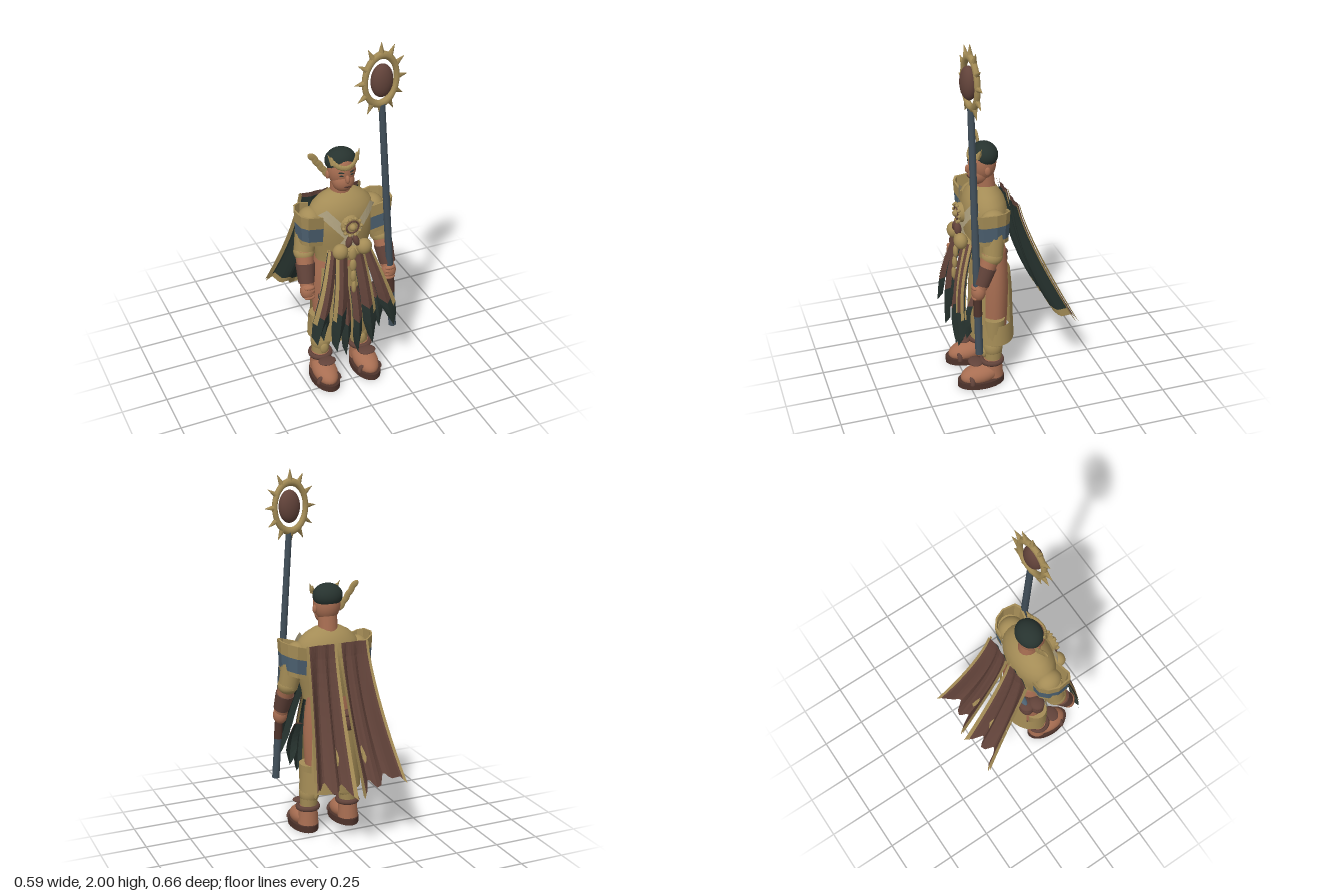
import * as THREE from 'three';

const mat = (name, color) => {
  const m = new THREE.MeshStandardMaterial({ color, side: THREE.DoubleSide });
  m.name = name;
  return m;
};
const gold = mat('gold cloth', 0xa48c56), skin = mat('skin', 0xa86e52), brown = mat('brown cloth', 0x62433a);
const dark = mat('dark teal', 0x27332f), blue = mat('blue band', 0x4c6070), steel = mat('staff steel', 0x42505b);
const cream = mat('cream strap', 0xb8aa86), sole = mat('dark leather', 0x4e332b);

const V = (a) => new THREE.Vector3(...a);
const lerp = THREE.MathUtils.lerp;
const BALL = new THREE.SphereGeometry(1, 24, 16);

function add(parent, name, geo, material, pos = [0, 0, 0], scale = [1, 1, 1], rot = [0, 0, 0]) {
  const m = new THREE.Mesh(geo, material);
  m.name = name;
  m.position.set(...pos);
  m.scale.set(...scale);
  m.rotation.set(...rot);
  parent.add(m);
  return m;
}
const ball = (p, name, material, pos, scale, rot) => add(p, name, BALL, material, pos, scale, rot);

// tapered rod from a to b
function rod(p, name, material, a, b, ra, rb, sides = 16) {
  const d = V(b).sub(V(a));
  const m = add(p, name, new THREE.CylinderGeometry(rb, ra, d.length(), sides), material,
    V(a).add(V(b)).multiplyScalar(0.5).toArray());
  m.quaternion.setFromUnitVectors(new THREE.Vector3(0, 1, 0), d.normalize());
  return m;
}

// faceted sheet following f(u, v) over part of its range
function sheet(p, name, material, f, [u0, u1, v0, v1], nu = 8, nv = 8) {
  const pos = [], idx = [];
  for (let j = 0; j <= nv; j++) for (let i = 0; i <= nu; i++) pos.push(...f(lerp(u0, u1, i / nu), lerp(v0, v1, j / nv)));
  for (let j = 0; j < nv; j++) for (let i = 0; i < nu; i++) {
    const a = j * (nu + 1) + i, b = a + nu + 1;
    idx.push(a, b, a + 1, b, b + 1, a + 1);
  }
  let g = new THREE.BufferGeometry();
  g.setAttribute('position', new THREE.Float32BufferAttribute(pos, 3));
  g.setIndex(idx);
  g = g.toNonIndexed();
  g.computeVertexNormals();
  return add(p, name, g, material);
}

// piecewise linear lookup in evenly spaced values
function ramp(list, t) {
  const k = Math.min(Math.max(t, 0) * (list.length - 1), list.length - 1.0001), i = Math.floor(k);
  return lerp(list[i], list[i + 1], k - i);
}

const lathe = (pts, a = 0, len = Math.PI * 2) =>
  new THREE.LatheGeometry(pts.map(([r, y]) => new THREE.Vector2(r, y)), 28, a, len);

function buildHead(body) {
  const g = new THREE.Group();
  g.name = 'head';
  body.add(g);
  rod(g, 'neck', skin, [0, 1.12, 0.105], [0, 1.25, 0.115], 0.055, 0.05);
  ball(g, 'skull', skin, [0, 1.29, 0.122], [0.074, 0.1, 0.074]);
  ball(g, 'jaw', skin, [0, 1.235, 0.143], [0.06, 0.064, 0.058]);
  ball(g, 'hair', dark, [0, 1.335, 0.11], [0.083, 0.066, 0.071], [-0.18, 0, 0]);
  ball(g, 'nose', skin, [0, 1.262, 0.2], [0.012, 0.024, 0.016]);
  ball(g, 'mouth', sole, [0, 1.218, 0.1995], [0.02, 0.004, 0.004]);
  for (const s of [-1, 1]) {
    ball(g, 'ear', skin, [s * 0.074, 1.265, 0.115], [0.01, 0.024, 0.016]);
    ball(g, 'eye', dark, [s * 0.029, 1.282, 0.189], [0.011, 0.004, 0.004], [0, s * 0.4, 0]);
    ball(g, 'eyebrow', dark, [s * 0.03, 1.3, 0.19], [0.016, 0.004, 0.004], [0, s * 0.4, s * 0.1]);
    // leaf circlet rising to a tip on each side
    for (let i = 0; i < 6; i++) {
      const a = i * 0.19;
      ball(g, 'circletLeaf', gold, [s * Math.sin(a) * 0.085, 1.325 + i * i * 0.0015, 0.11 + Math.cos(a) * 0.083],
        [0.012, 0.022, 0.009], [0, s * a, -s * (1.1 - i * 0.16)]);
    }
    rod(g, 'circletTip', gold, [s * 0.066, 1.345, 0.165], [s * 0.088, 1.4, 0.15], 0.013, 0.001, 6);
  }
  // side plume of overlapping leaves
  for (let i = 0; i < 6; i++)
    ball(g, 'plume', gold, [-0.082 - i * 0.014, 1.278 + i * 0.02, 0.105], [0.018, 0.032, 0.007], [0, 0, 0.35 + (i % 2) * 0.5]);
}

function buildTorso(body) {
  add(body, 'robe', lathe([[0.74, 0.77], [0.78, 0.82], [0.87, 0.88], [0.96, 0.96], [0.98, 1.02], [0.94, 1.06], [0.84, 1.1], [0.65, 1.135], [0.42, 1.16], [0.2, 1.17]]),
    gold, [0, 0, 0.116], [0.191, 1, 0.12]);
  add(body, 'hips', lathe([[0.82, 0.28], [0.9, 0.45], [0.93, 0.6], [0.88, 0.7], [0.8, 0.79]]), skin, [0, 0, 0.085], [0.165, 1, 0.1]);
  // skirt is open at the hips and closed near the hem
  const skirtPos = [0, 0, 0.085], skirtScale = [0.175, 1, 0.122];
  add(body, 'skirtHem', lathe([[1.02, 0.25], [0.98, 0.37]]), gold, skirtPos, skirtScale);
  for (const [start, top] of [[-0.95, 0.72], [Math.PI - 0.95, 0.66]])
    add(body, 'skirtPanel', lathe([[0.98, 0.37], [0.93, 0.56], [0.86, top]], start, 1.9), gold, skirtPos, skirtScale);
  // chest straps and sun medallion
  for (const s of [-1, 1])
    sheet(body, 'chestStrap', cream, (u, v) => {
      const x = lerp(-0.14, 0.05, v) + (u - 0.5) * 0.038;
      return [s * x, lerp(1.1, 0.88, v) + (u - 0.5) * 0.033, 0.121 + 0.122 * Math.sqrt(1 - (x / 0.19) ** 2)];
    }, [0, 1, 0, 1], 2, 8);
  add(body, 'medallion', new THREE.CylinderGeometry(0.05, 0.055, 0.03, 20), gold, [0, 1.015, 0.252], [1, 1, 1], [Math.PI / 2, 0, 0]);
  add(body, 'medallionRing', new THREE.TorusGeometry(0.034, 0.005, 6, 20), brown, [0, 1.015, 0.267]);
  ball(body, 'medallionBoss', gold, [0, 1.015, 0.269], [0.019, 0.019, 0.02]);
  for (let i = 0; i < 10; i++) {
    const a = i * Math.PI / 5;
    ball(body, 'medallionRay', gold, [Math.cos(a) * 0.05, 1.015 + Math.sin(a) * 0.05, 0.266], [0.009, 0.009, 0.011]);
  }
  // belt ornaments
  ball(body, 'beltPlate', gold, [0, 0.85, 0.225], [0.1, 0.035, 0.045]);
  for (const s of [-1, 1]) {
    ball(body, 'beltOrb', gold, [s * 0.068, 0.88, 0.265], [0.042, 0.044, 0.037]);
    ball(body, 'beltBead', brown, [s * 0.02, 0.93, 0.267], [0.017, 0.034, 0.02], [0, 0, s * 0.3]);
  }
  for (let i = 0; i < 4; i++)
    ball(body, 'tassel', gold, [0, 0.85 - i * 0.065, 0.27 + i * 0.006], [0.022 - i * 0.003, 0.038, 0.014]);
  // pouches around the back of the right hip
  for (const [x, y, z, r] of [[-0.165, 0.67, 0.06, 0.046], [-0.138, 0.66, 0.01, 0.047], [-0.075, 0.655, -0.005, 0.04]]) {
    ball(body, 'pouch', brown, [x, y, z], [r, r * 1.5, r * 0.85]);
    ball(body, 'pouchFlap', brown, [x, y + r, z], [r * 1.03, r * 0.55, r * 0.92]);
  }
  ball(body, 'pouchTie', blue, [-0.11, 0.748, 0.0], [0.045, 0.01, 0.018], [0, 0, 0.15]);
}

function buildLimbs(body, s) {
  // arm with bracer and hand
  ball(body, 'shoulder', gold, [s * 0.178, 1.02, 0.12], [0.064, 0.072, 0.072]);
  rod(body, 'upperArm', gold, [s * 0.188, 1.03, 0.12], [s * 0.222, 0.84, 0.14], 0.064, 0.054);
  ball(body, 'elbow', gold, [s * 0.222, 0.85, 0.142], [0.055, 0.05, 0.058]);
  rod(body, 'forearm', skin, [s * 0.222, 0.86, 0.145], [s * 0.235, 0.68, 0.21], 0.05, 0.036);
  rod(body, 'bracer', brown, [s * 0.227, 0.795, 0.17], [s * 0.236, 0.7, 0.207], 0.052, 0.043);
  ball(body, 'hand', skin, [s * 0.237, 0.658, 0.222], [0.04, 0.052, 0.038]);
  for (let i = 0; i < 4; i++)
    ball(body, 'finger', skin, [s * 0.234, 0.686 - i * 0.02, 0.244], [0.03, 0.013, 0.015]);
  // banded shell sleeve
  const px = [0.15, 0.205, 0.247, 0.268, 0.258, 0.225, 0.13], pz = [0.033, 0.035, 0.07, 0.125, 0.2, 0.22, 0.205];
  const shell = (u, y, inset) => {
    const x = ramp(px, u), k = 1 - inset - (1.1 - y) * 0.7;
    return [s * (0.19 + (x - 0.19) * k), y + (x - 0.25) * 0.25, 0.125 + (ramp(pz, u) - 0.125) * k];
  };
  for (const [y0, y1, m] of [[1.1, 1.03, gold], [1.03, 0.95, blue], [0.95, 0.925, gold]])
    sheet(body, 'sleeveBand', m, (u, v) => shell(u, lerp(y0, y1, v), 0), [0, 1, 0, 1], 6, 1);
  sheet(body, 'sleeveRim', gold, (u, v) => shell(u, 1.1, v * 0.12), [0, 1, 0, 1], 6, 1);
  sheet(body, 'sleeveLining', gold, (u, v) => shell(u, lerp(1.1, 0.925, v), 0.12), [0, 1, 0, 1], 6, 1);
  // leg and sandal
  rod(body, 'leg', gold, [s * 0.12, 0.1, 0.11], [s * 0.112, 0.4, 0.1], 0.045, 0.062);
  ball(body, 'calf', gold, [s * 0.115, 0.22, 0.108], [0.057, 0.07, 0.056]);
  ball(body, 'kneeStud', gold, [s * 0.115, 0.19, 0.158], [0.024, 0.035, 0.014]);
  rod(body, 'ankle', skin, [s * 0.122, 0.04, 0.11], [s * 0.12, 0.15, 0.11], 0.058, 0.05);
  ball(body, 'foot', skin, [s * 0.124, 0.06, 0.182], [0.067, 0.056, 0.115], [0.14, 0, 0]);
  add(body, 'sole', new THREE.CylinderGeometry(1, 1, 0.036, 24), sole, [s * 0.124, 0.018, 0.18], [0.076, 1, 0.133]);
  add(body, 'toeStrap', new THREE.TorusGeometry(0.06, 0.01, 8, 20, Math.PI), brown, [s * 0.124, 0.03, 0.245], [1.05, 0.85, 1.4]);
  add(body, 'ankleStrap', new THREE.TorusGeometry(0.054, 0.012, 8, 24), brown, [s * 0.121, 0.138, 0.115], [1.05, 1.05, 1.3], [Math.PI / 2, 0, 0]);
  ball(body, 'strapBuckle', brown, [s * 0.121, 0.14, 0.21], [0.05, 0.012, 0.04]);
}

function buildCape(body, s) {
  const folds = [0, 0.03, 0.085, 0.04, 0.05, 0.09, 0.06, 0.02, 0], hem = [0, 0.02, 0.06, 0.01, 0.01, 0.06, 0.02, 0.04, 0];
  const f = (off) => (u, v) => [
    s * (0.008 + 0.01 * v + u * (0.168 + 0.08 * v ** 1.7)),
    1.1 - (0.77 - 0.05 * u - ramp(hem, u) * v) * v,
    -0.022 - 0.312 * v ** 1.2 + ramp(folds, u) * (0.1 + 1.9 * v - 0.8 * v * v) + off];
  sheet(body, 'capeOuter', brown, f(0), [0.07, 0.93, 0, 1], 16, 10);
  sheet(body, 'capeLining', dark, f(0.008), [0.07, 0.93, 0.03, 0.94], 16, 10);
  sheet(body, 'capeLiningHem', gold, f(0.008), [0.07, 0.93, 0.94, 1], 16, 1);
  for (const r of [[0, 0.07, 0, 1], [0.93, 1, 0, 1]]) {
    sheet(body, 'capeTrim', gold, f(-0.003), r, 1, 10);
    sheet(body, 'capeTrimInner', gold, f(0.011), r, 1, 10);
  }
  // worn gold patch, pointed at both ends
  const patch = f(-0.004);
  sheet(body, 'capePatch', gold, (u, v) => patch(0.27 + u * 0.05 * Math.sin(v * Math.PI), 0.74 + v * 0.14), [-1, 1, 0, 1], 2, 4);
}

function buildTabard(body, s) {
  // x top, x bottom, y top, y bottom, width top, width bottom, z top, z bottom, colour split
  const strips = [
    [0.09, 0.225, 0.87, 0.36, 0.05, 0.1, 0.24, 0.325, 0.7],
    [0.045, 0.105, 0.86, 0.27, 0.065, 0.085, 0.255, 0.315, 0.6],
    [0.14, 0.165, 0.6, 0.33, 0.05, 0.07, 0.22, 0.27, 0.3],
    [0.03, 0.035, 0.62, 0.2, 0.05, 0.055, 0.255, 0.28, 0.5],
  ];
  for (const [x0, x1, y0, y1, w0, w1, z0, z1, split] of strips) {
    const f = (off) => (u, v) => [
      s * (lerp(x0, x1, v) + (u - 0.5) * lerp(w0, w1, v) * (v > 0.8 ? 1 - (v - 0.8) * 2.5 : 1)),
      lerp(y0, y1, v) + Math.abs(u - 0.5) * 0.1 * v,
      lerp(z0, z1, v) + 0.03 * Math.sin(v * Math.PI) - Math.abs(u - 0.5) * 0.05 + off];
    sheet(body, 'tabardStrip', brown, f(0), [0, 1, 0, split], 4, 6);
    sheet(body, 'tabardTip', dark, f(0), [0, 1, split, 1], 4, 6);
    sheet(body, 'tabardLining', dark, f(-0.006), [0, 1, 0.03, split], 4, 6);
    if (y0 > 0.8) for (const off of [0.004, -0.009])
      sheet(body, 'tabardTrim', gold, f(off), [0.78, 1, 0, split + 0.1], 1, 6);
  }
}

function buildStaff(root) {
  const g = new THREE.Group();
  g.name = 'staff';
  root.add(g);
  rod(g, 'staffShaft', steel, [0.25, 0.29, 0.23], [0.155, 1.67, 0.23], 0.022, 0.018, 8);
  rod(g, 'staffGrip', sole, [0.234, 0.52, 0.23], [0.227, 0.62, 0.23], 0.024, 0.024, 8);
  const head = new THREE.Group();
  head.name = 'staffHead';
  head.position.set(0.147, 1.802, 0.228);
  head.rotation.y = 0.1;
  g.add(head);
  add(head, 'sunRing', new THREE.TorusGeometry(0.13, 0.021, 8, 32), gold, [0, 0, 0], [0.7, 1, 0.8]);
  ball(head, 'sunOrb', brown, [0, 0, 0.01], [0.06, 0.088, 0.042]);
  for (let i = 0; i < 12; i++) {
    const a = i * Math.PI / 6, c = Math.cos(a), n = Math.sin(a);
    rod(head, 'sunRay', gold, [c * 0.093, n * 0.135, 0], [c * 0.15, n * 0.198, 0], 0.017, 0.001, 6);
  }
}

export function createModel() {
  const root = new THREE.Group();
  root.name = 'robedStaffBearer';
  const body = new THREE.Group();
  body.name = 'body';
  body.position.x = -0.015;
  root.add(body);
  buildHead(body);
  buildTorso(body);
  for (const s of [-1, 1]) {
    buildLimbs(body, s);
    buildCape(body, s);
    buildTabard(body, s);
  }
  buildStaff(root);
  return root;
}
